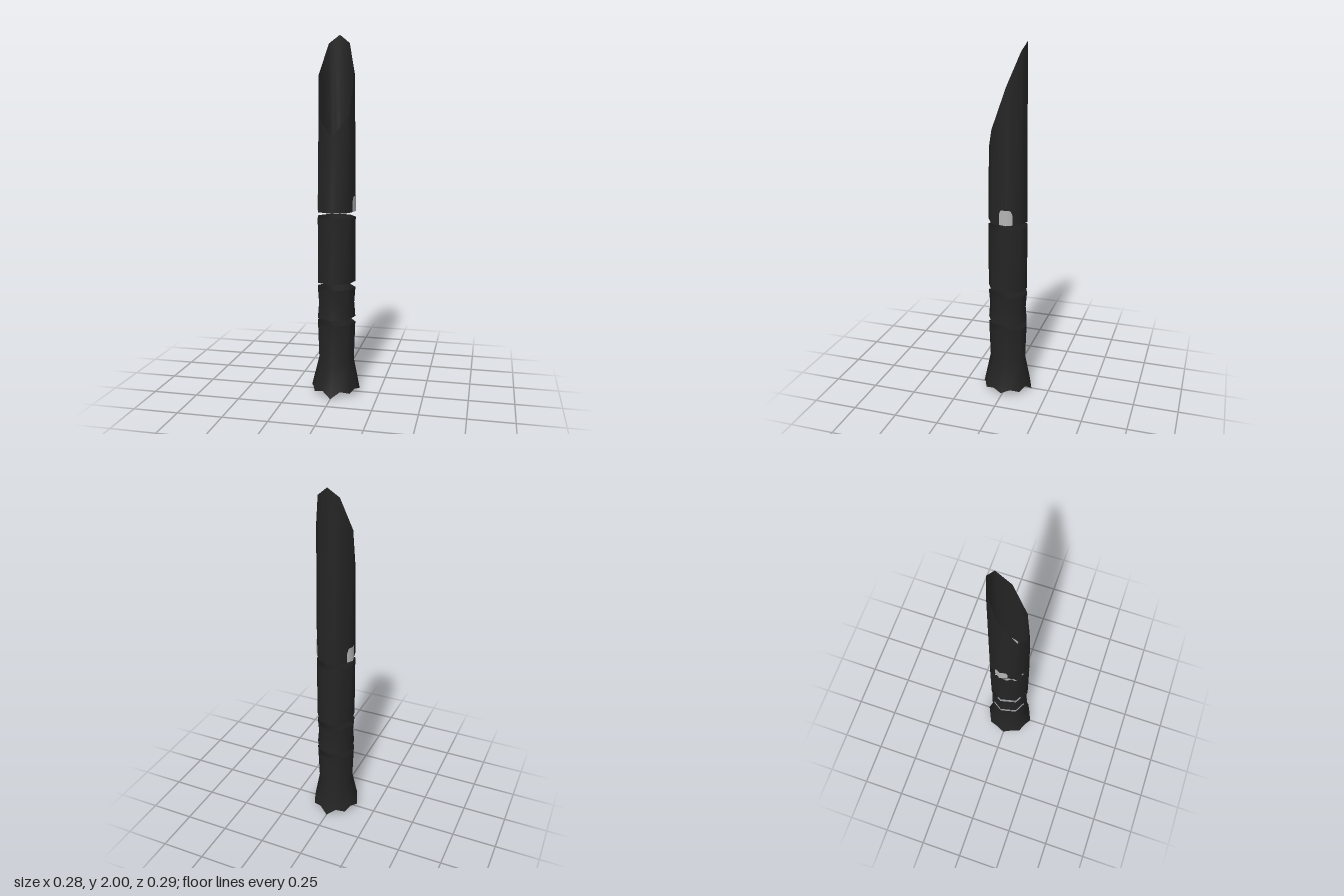
import * as THREE from 'three';

// Eight-cornered cross-section of the tube, as x and z for radius 1
const HALF = [[0, 1], [0.76, 0.6], [0.95, -0.2], [0.55, -0.83], [0, -1]];
const mirrorRing = (h) => [...h, ...h.slice(1, -1).reverse().map(([x, ...rest]) => [-x, ...rest])];

// Adds a point halfway along each side
function subdivide(ring, midY) {
  return ring.flatMap((p, i) => {
    const q = ring[(i + 1) % ring.length];
    const m = p.map((v, k) => (v + q[k]) / 2);
    if (midY !== undefined) m[1] = midY;
    return [p, m];
  });
}

// Level ring of radius r at height y
const ringAt = (y, r) => subdivide(mirrorRing(HALF.map(([x, z]) => [x * r, y, z * r])));

// Open shell through a list of rings
function shell(name, rings, material) {
  const n = rings[0].length, index = [];
  for (let j = 0; j < rings.length - 1; j++) {
    for (let i = 0; i < n; i++) {
      const a = j * n + i, b = j * n + (i + 1) % n;
      index.push(a, b, b + n, a, b + n, a + n);
    }
  }
  return makeMesh(name, rings.flat(), index, material);
}

function makeMesh(name, points, index, material) {
  const g = new THREE.BufferGeometry();
  g.setAttribute('position', new THREE.Float32BufferAttribute(points.flat(), 3));
  g.setIndex(index);
  g.computeVertexNormals();
  const mesh = new THREE.Mesh(g, material);
  mesh.name = name;
  return mesh;
}

// Side wall of the upper tube: x for a given z and height
function wallX(z, y) {
  const r = 0.113 - 0.008 * (y - 1.035);
  const u = z / r;
  const [lo, hi] = u > -0.2 ? [HALF[2], HALF[1]] : [HALF[3], HALF[2]];
  return r * (lo[0] + (hi[0] - lo[0]) * (u - lo[1]) / (hi[1] - lo[1]));
}

// Thin arched patch following the wall
function patch(name, side, offset, material) {
  const zs = [0.02, 0.01, -0.0226, -0.045, -0.055];
  const tops = [1.095, 1.12, 1.122, 1.118, 1.09];
  const points = [], index = [];
  zs.forEach((z, i) => {
    for (const y of [1.036, tops[i]]) points.push([side * (wallX(z, y) + offset), y, z]);
    if (i) {
      const a = 2 * i - 2;
      if (side > 0) index.push(a, a + 2, a + 3, a, a + 3, a + 1);
      else index.push(a, a + 3, a + 2, a, a + 1, a + 3);
    }
  });
  return makeMesh(name, points, index, material);
}

export function createModel() {
  const black = new THREE.MeshStandardMaterial({ color: 0x242424, side: THREE.DoubleSide });
  black.name = 'black';
  const paleGrey = new THREE.MeshStandardMaterial({ color: 0xb4b4b4, side: THREE.DoubleSide });
  paleGrey.name = 'pale grey';
  const model = new THREE.Group();
  model.name = 'slantedTube';

  // Flared foot with a jagged hem
  const hem = subdivide(mirrorRing([
    [0, 0, 0.147], [0.1, 0.022, 0.1], [0.14, 0.02, 0], [0.1, 0.022, -0.1], [0, 0, -0.147],
  ]), 0.036);
  model.add(shell('flaredFoot', [hem, ringAt(0.19, 0.106), ringAt(0.405, 0.114)], black));

  // Pinched collar and straight middle sleeve
  model.add(shell('pinchedCollar', [ringAt(0.437, 0.114), ringAt(0.52, 0.107), ringAt(0.605, 0.114)], black));
  model.add(shell('middleSleeve', [ringAt(0.64, 0.114), ringAt(1.005, 0.114)], black));

  // Upper tube, cut off at a slant that rises to the back
  const cut = ringAt(0, 0.107).map(([x, , z]) => [x, 1.72 - z * 0.28 / 0.107, z]);
  model.add(shell('slantedTip', [ringAt(1.035, 0.113), cut], black));

  // Pale patches on both sides, inside and out
  for (const [label, side] of [['left', 1], ['right', -1]]) {
    model.add(patch(label + 'PatchOuter', side, 0.002, paleGrey));
    model.add(patch(label + 'PatchInner', side, -0.002, paleGrey));
  }
  return model;
}
